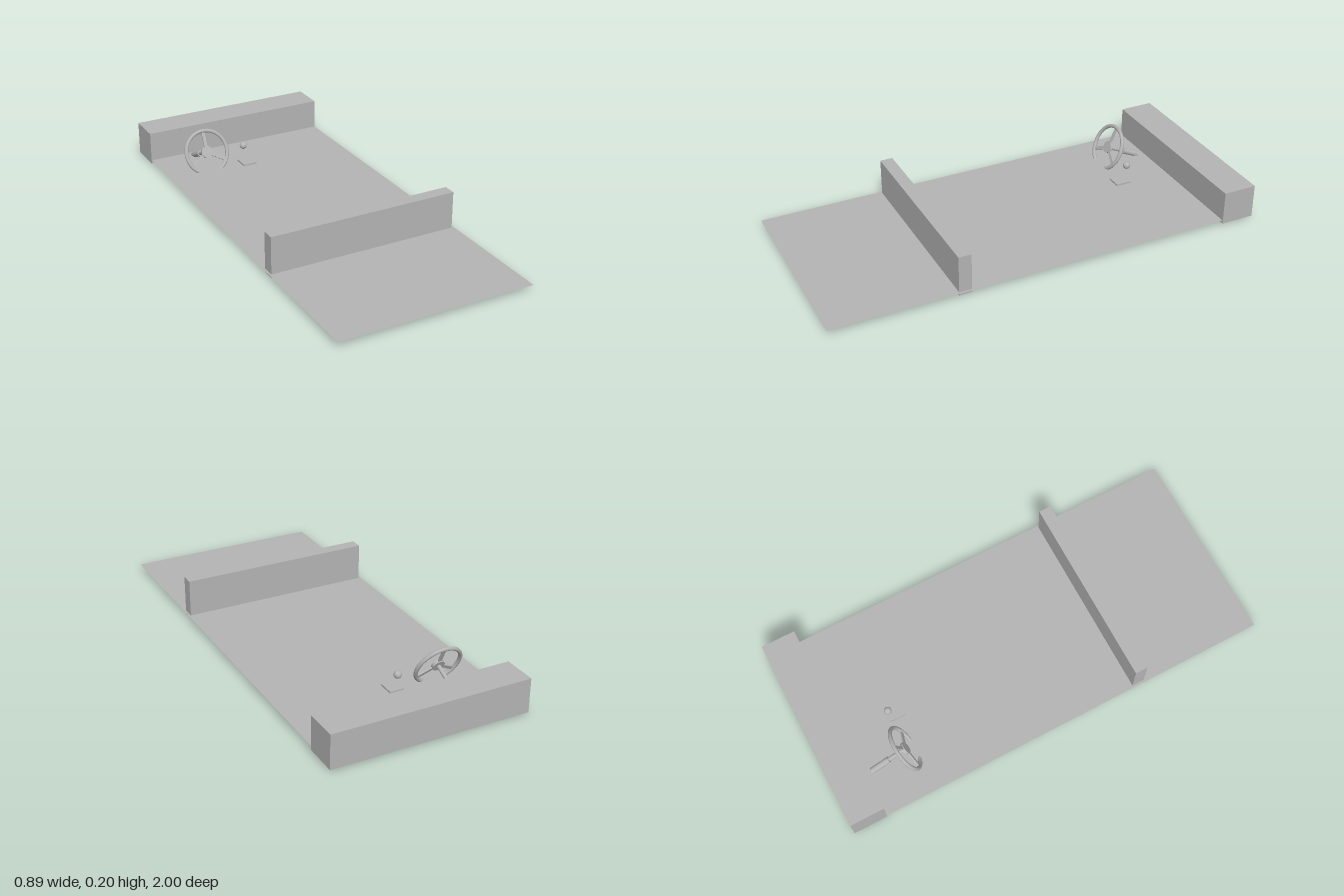
import * as THREE from 'three';

export function createModel() {
  const model = new THREE.Group();
  const grey = new THREE.MeshStandardMaterial({ color: 0xb4b4b4 });
  grey.name = 'plain grey';
  const greySheet = new THREE.MeshStandardMaterial({ color: 0xb4b4b4, side: THREE.DoubleSide });
  greySheet.name = 'plain grey';

  const add = (name, geometry, parent = model, material = grey) => {
    const mesh = new THREE.Mesh(geometry, material);
    mesh.name = name;
    parent.add(mesh);
    return mesh;
  };
  // Box given by its lower and upper corners
  const block = (name, [x0, y0, z0], [x1, y1, z1]) =>
    add(name, new THREE.BoxGeometry(x1 - x0, y1 - y0, z1 - z0))
      .position.set((x0 + x1) / 2, (y0 + y1) / 2, (z0 + z1) / 2);

  // Floor sheet and the two cross blocks that reach through it
  const floor = add('floor', new THREE.PlaneGeometry(0.892, 2).rotateX(-Math.PI / 2), model, greySheet);
  floor.position.y = 0.028;
  block('dashboard', [-0.447, 0.012, -1], [0.447, 0.167, -0.845]);
  block('seatBack', [-0.436, 0.012, 0.372], [0.436, 0.198, 0.43]);

  // Gear lever: floor pad and a floating knob
  block('gearPad', [-0.083, 0.014, -0.645], [-0.017, 0.036, -0.572]);
  add('gearKnob', new THREE.SphereGeometry(0.017, 24, 16)).position.set(-0.053, 0.105, -0.64);

  // Steering wheel, built facing +z and then tilted back
  const steering = new THREE.Group();
  steering.name = 'steeringWheel';
  steering.position.set(-0.24, 0.106, -0.648);
  steering.rotation.x = -0.44;
  model.add(steering);
  add('rim', new THREE.TorusGeometry(0.103, 0.009, 12, 48), steering);
  add('hub', new THREE.CylinderGeometry(0.028, 0.028, 0.014, 32).rotateX(Math.PI / 2), steering);
  for (const degrees of [90, 210, 330]) {
    const spoke = new THREE.BoxGeometry(0.085, 0.015, 0.007).translate(0.0625, 0, 0);
    add('spoke', spoke.rotateZ(THREE.MathUtils.degToRad(degrees)), steering);
  }

  // Column: thin shaft behind the hub running into a thicker sleeve
  const rod = (name, radius, near, far) =>
    add(name, new THREE.CylinderGeometry(radius, radius, far - near, 20).rotateX(Math.PI / 2), steering)
      .position.z = -(near + far) / 2;
  rod('columnShaft', 0.009, 0, 0.1);
  rod('columnSleeve', 0.014, 0.09, 0.185);

  return model;
}
